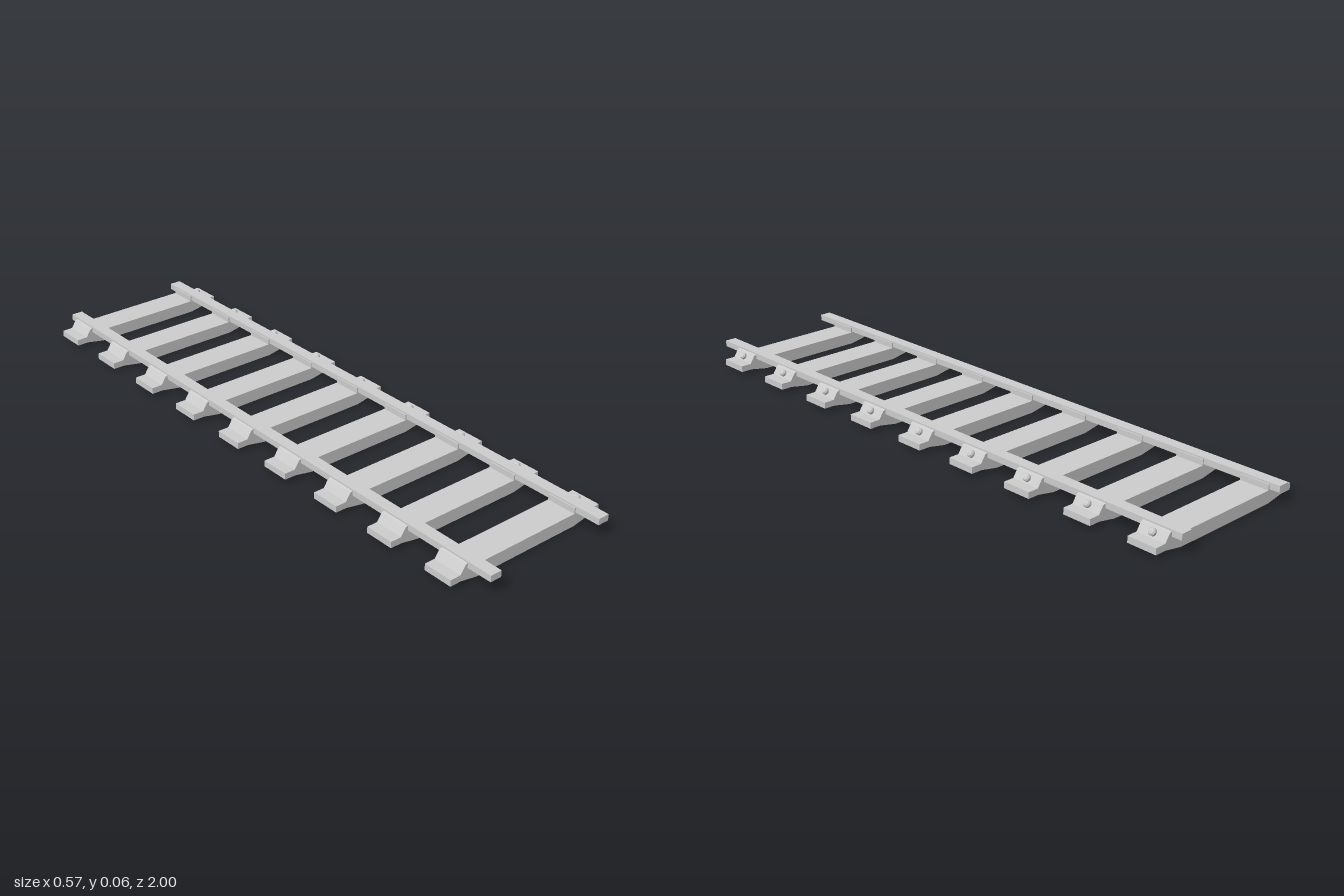
import * as THREE from 'three';

const material = new THREE.MeshStandardMaterial({ color: 0xcccccc, flatShading: true });
const SLEEPERS = 9, PITCH = 0.2238, FIRST_Z = 0.871, SLEEPER_WIDTH = 0.095;

// Right half of the sleeper outline, bottom centre to top centre
const HALF = [
  [0.185, 0], [0.245, 0.011], [0.283, 0.011], [0.283, 0.031],
  [0.248, 0.031], [0.232, 0.055], [0.224, 0.058], [0.182, 0.058], [0.182, 0.04],
];

function sleeperGeometry() {
  const mirrored = HALF.map(([x, y]) => [-x, y]).reverse();
  const shape = new THREE.Shape([...HALF, ...mirrored].map(([x, y]) => new THREE.Vector2(x, y)));
  return new THREE.ExtrudeGeometry(shape, { depth: SLEEPER_WIDTH, bevelEnabled: false })
    .translate(0, 0, -SLEEPER_WIDTH / 2);
}

// Domed bolt head, turned about its own axis
function boltGeometry() {
  const profile = [[0, -0.004], [0.0115, -0.004], [0.0115, 0.003], [0.008, 0.008], [0, 0.0095]];
  return new THREE.LatheGeometry(profile.map(([r, y]) => new THREE.Vector2(r, y)), 10);
}

export function createModel() {
  const track = new THREE.Group();
  track.name = 'railTrack';

  // Two long flat rails
  for (const [name, side] of [['leftRail', 1], ['rightRail', -1]]) {
    const rail = new THREE.Mesh(new THREE.BoxGeometry(0.038, 0.02, 2), material);
    rail.name = name;
    rail.position.set(side * 0.205, 0.053, 0);
    track.add(rail);
  }

  // Sleepers, each with one bolt on the sloping face of its left saddle
  const sleeperShape = sleeperGeometry(), boltShape = boltGeometry();
  for (let i = 0; i < SLEEPERS; i++) {
    const unit = new THREE.Group();
    unit.name = `sleeperUnit${i + 1}`;
    unit.position.z = FIRST_Z - i * PITCH;

    const sleeper = new THREE.Mesh(sleeperShape, material);
    sleeper.name = 'sleeper';
    const bolt = new THREE.Mesh(boltShape, material);
    bolt.name = 'bolt';
    bolt.position.set(0.243, 0.046, 0);
    bolt.rotation.z = -0.98;

    unit.add(sleeper, bolt);
    track.add(unit);
  }
  return track;
}
